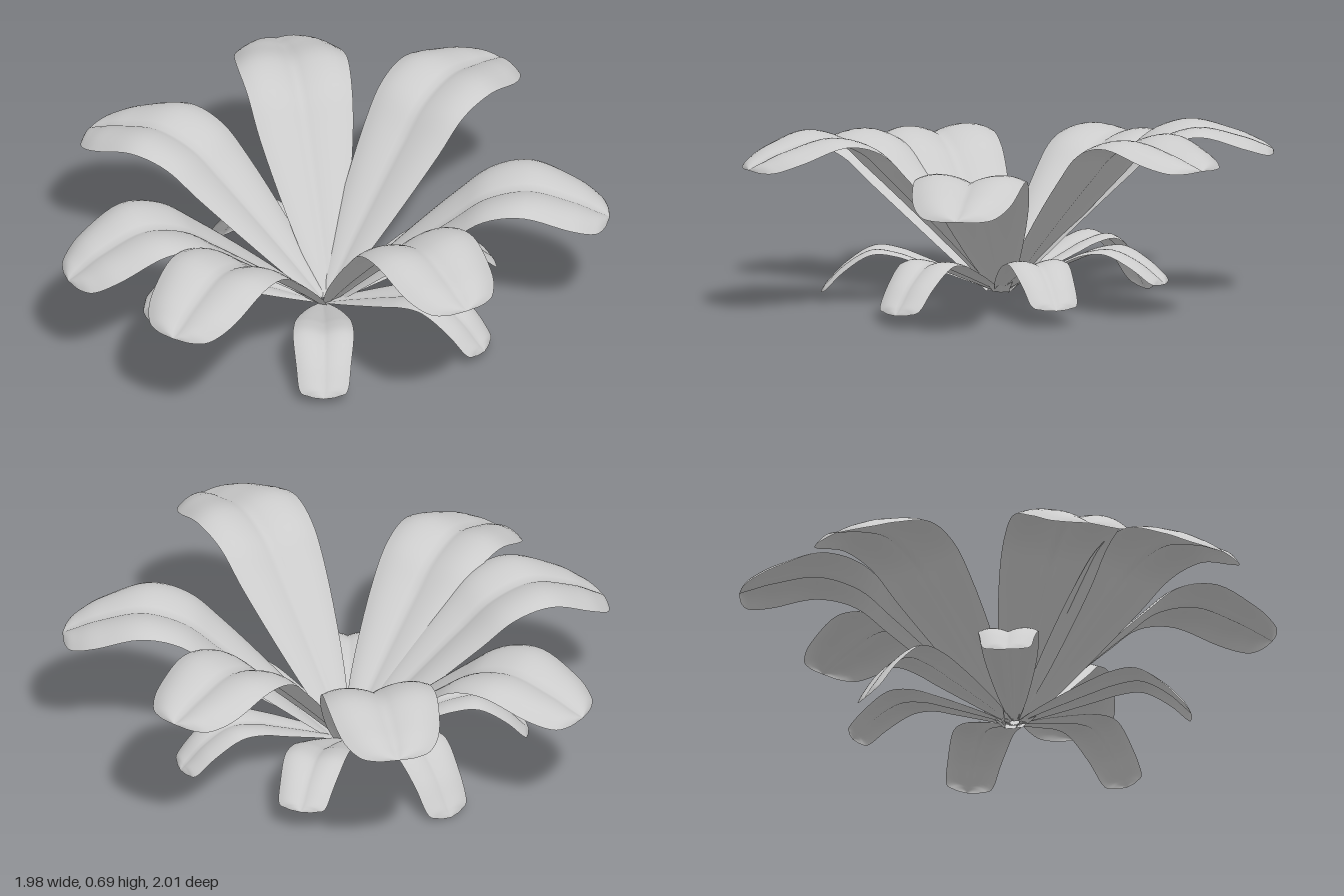
import * as THREE from 'three';

const material = new THREE.MeshStandardMaterial({ color: 0xcccccc, side: THREE.DoubleSide });
const BASE_Y = 0.04;

// One petal: the rib rises to a peak, then droops to a blunt tip.
// base and tip are [x, z]; half is the widest half-width; blunt squares off the tip.
function petal(name, base, tip, tipY, peakY, half, blunt) {
  const dir = new THREE.Vector2(tip[0] - base[0], tip[1] - base[1]);
  const length = dir.length();
  dir.normalize();
  const P = peakY - BASE_Y - half * 0.1;
  const drop = peakY - half * 0.1 - tipY;
  // x = distance along the petal, y = height, z = half-width
  const profile = new THREE.CatmullRomCurve3([
    [0, 0, 0.14], [0.16, 0.29 * P, 0.48], [0.43, 0.74 * P, 0.86],
    [0.55, 0.92 * P, 0.95], [0.7, P, 1], [0.86, P - 0.38 * drop, 0.9],
    [0.95, P - 0.76 * drop, 0.68 * blunt], [0.985, P - 0.92 * drop, 0.4 * blunt], [1, P - drop, 0],
  ].map((p) => new THREE.Vector3(...p)));

  const rows = 40, cols = 16;
  const geometry = new THREE.PlaneGeometry(1, 1, cols, rows);
  const pos = geometry.attributes.position;
  for (let r = 0; r <= rows; r++) {
    const p = profile.getPoint(r / rows);
    const width = Math.max(p.z, 0) * half;
    const droop = 0.2 * THREE.MathUtils.smoothstep(p.x, 0.55, 1);
    for (let c = 0; c <= cols; c++) {
      const u = (c / cols) * 2 - 1, a = Math.abs(u);
      // crease along the rib, swelling halves, edges bending down toward the tip
      const lift = width * (0.34 * Math.pow(a, 0.8) - 0.26 * a * a * a - droop * a * a);
      const along = p.x * length, side = u * width;
      pos.setXYZ(r * (cols + 1) + c,
        base[0] + dir.x * along + dir.y * side,
        BASE_Y + p.y + lift,
        base[1] + dir.y * along - dir.x * side);
    }
  }
  geometry.computeVertexNormals();
  const mesh = new THREE.Mesh(geometry, material);
  mesh.name = name;
  return mesh;
}

// Ring of petals from rows of base, tip, tip height, peak height
function ring(name, half, blunt, rows) {
  const group = new THREE.Group();
  group.name = `${name}s`;
  rows.forEach((row, i) => group.add(petal(`${name}${i + 1}`, ...row, half, blunt)));
  return group;
}

export function createModel() {
  const flower = new THREE.Group();
  flower.name = 'flower';
  flower.add(
    // Tall upper ring
    ring('upperPetal', 0.205, 1, [
      [[-0.02, -0.01], [0.98, 0.09], 0.555, 0.66],
      [[-0.02, -0.05], [0.635, -0.81], 0.45, 0.57],
      [[-0.06, -0.03], [-0.31, -1.0], 0.59, 0.675],
      [[-0.06, -0.04], [-0.95, -0.45], 0.55, 0.645],
      [[-0.06, -0.01], [-0.985, 0.37], 0.45, 0.56],
      [[-0.06, 0.01], [-0.26, 1.0], 0.39, 0.545],
      [[-0.02, 0.02], [0.325, 0.95], 0.42, 0.555],
    ]),
    // Short lower ring, drooping to the ground
    ring('lowerPetal', 0.112, 1.2, [
      [[-0.03, -0.02], [0.11, -0.66], 0.06, 0.21],
      [[-0.05, -0.02], [-0.44, -0.52], 0.1, 0.22],
      [[-0.06, 0], [-0.67, 0.0], 0.0, 0.22],
      [[-0.05, 0.01], [-0.38, 0.57], 0.03, 0.2],
      [[-0.03, 0.01], [0.49, 0.385], 0.03, 0.19],
      [[-0.03, -0.01], [0.575, -0.285], 0.03, 0.2],
    ]),
  );
  return flower;
}
